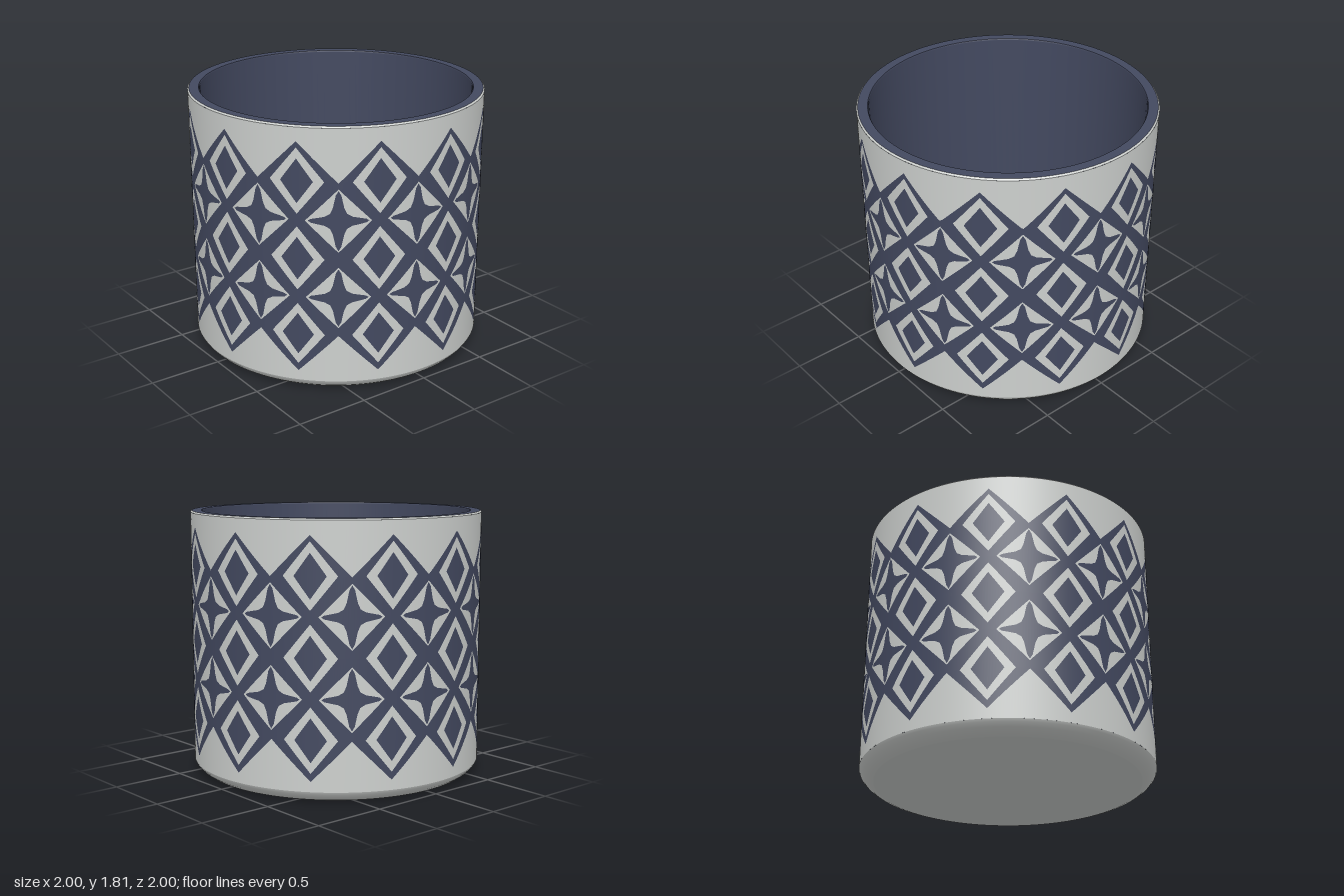
import * as THREE from 'three';

const RADIUS = 1;
const WALL_BOTTOM = 0.08, WALL_TOP = 1.8, TOP = 1.81;
const REPEATS = 12;            // motifs around the pot, one every 30 degrees
const START = 10;              // angle of the first diamond, in degrees
const DIAMOND_ROWS = [0.415, 0.94, 1.455];
const STAR_ROWS = [0.677, 1.2];

// Half height of a diamond at a given angle from its centre
const diamond = (deg, halfWidth, halfHeight) => Math.max(0, halfHeight * (1 - deg / halfWidth));

// Half height of the concave four-pointed star at an angle from its centre
const STAR = [[0, 0.2], [1, 0.17], [2, 0.09], [3, 0.05], [5, 0.03], [10, 0.012], [11, 0]];
function star(deg) {
  for (let i = 1; i < STAR.length; i++) {
    const [a, h] = STAR[i - 1], [b, k] = STAR[i];
    if (deg <= b) return h + (k - h) * (deg - a) / (b - a);
  }
  return 0;
}

// Heights where the wall changes colour, bottom to top, alternating light and dark
function colourBreaks(fromDiamond) {
  const fromStar = 15 - fromDiamond;
  const ring = diamond(fromDiamond, 10, 0.215), core = diamond(fromDiamond, 6, 0.145);
  const cell = diamond(fromStar, 12, 0.21), point = star(fromStar);
  const edge = 0.262 * fromDiamond / 15;
  const ys = [WALL_BOTTOM, 0.148 + edge];
  DIAMOND_ROWS.forEach((y, i) => {
    ys.push(y - ring, y - core, y + core, y + ring);
    const s = STAR_ROWS[i];
    if (s !== undefined) ys.push(s - cell, s - point, s + point, s + cell);
  });
  ys.push(1.71 - edge, WALL_TOP);
  return ys;
}

// Wall surface of one colour: parity 0 is the light ground, 1 the dark pattern
function wallGeometry(parity) {
  const positions = [], normals = [];
  const put = (deg, y) => {
    const a = THREE.MathUtils.degToRad(START + deg);
    positions.push(RADIUS * Math.sin(a), y, RADIUS * Math.cos(a));
    normals.push(Math.sin(a), 0, Math.cos(a));
  };
  const step = 360 / REPEATS;
  for (let d = 0; d < 360; d++) {
    const distance = (deg) => Math.min(deg % step, step - deg % step);
    const left = colourBreaks(distance(d)), right = colourBreaks(distance(d + 1));
    for (let i = parity; i < left.length - 1; i += 2) {
      if (right[i + 1] - right[i] > 1e-6) {
        put(d, left[i]); put(d + 1, right[i]); put(d + 1, right[i + 1]);
      }
      if (left[i + 1] - left[i] > 1e-6) {
        put(d, left[i]); put(d + 1, right[i + 1]); put(d, left[i + 1]);
      }
    }
  }
  const geometry = new THREE.BufferGeometry();
  geometry.setAttribute('position', new THREE.Float32BufferAttribute(positions, 3));
  geometry.setAttribute('normal', new THREE.Float32BufferAttribute(normals, 3));
  return geometry;
}

export function createModel() {
  const glaze = new THREE.MeshStandardMaterial({ color: 0xcdd0ce });
  glaze.name = 'light grey glaze';
  const navy = new THREE.MeshStandardMaterial({ color: 0x434960 });
  navy.name = 'navy glaze';

  const model = new THREE.Group();
  model.name = 'patternedPot';
  const add = (name, geometry, material) => {
    const mesh = new THREE.Mesh(geometry, material);
    mesh.name = name;
    model.add(mesh);
  };
  const turned = (name, points, material) =>
    add(name, new THREE.LatheGeometry(points.map(([x, y]) => new THREE.Vector2(x, y)), 120), material);

  // Underside and rounded foot
  turned('underside', [[0, 0], [0.9, 0]], glaze);
  turned('foot', [[0.9, 0], [0.935, 0.012], [0.97, 0.037], [0.992, 0.062], [1, WALL_BOTTOM]], glaze);

  // Outer wall with its lattice of diamonds and stars
  add('outerWall', wallGeometry(0), glaze);
  add('wallPattern', wallGeometry(1), navy);

  // Lip, rim and hollow inside
  turned('lip', [[1, WALL_TOP], [0.99, TOP]], glaze);
  turned('rim', [[0.99, TOP], [0.925, TOP]], navy);
  turned('innerWall', [[0.925, TOP], [0.92, 1.8], [0.92, 0.22]], navy);
  turned('floor', [[0.92, 0.22], [0.91, 0.17], [0.88, 0.12], [0.84, 0.09], [0.78, 0.08], [0, 0.08]], navy);

  return model;
}
